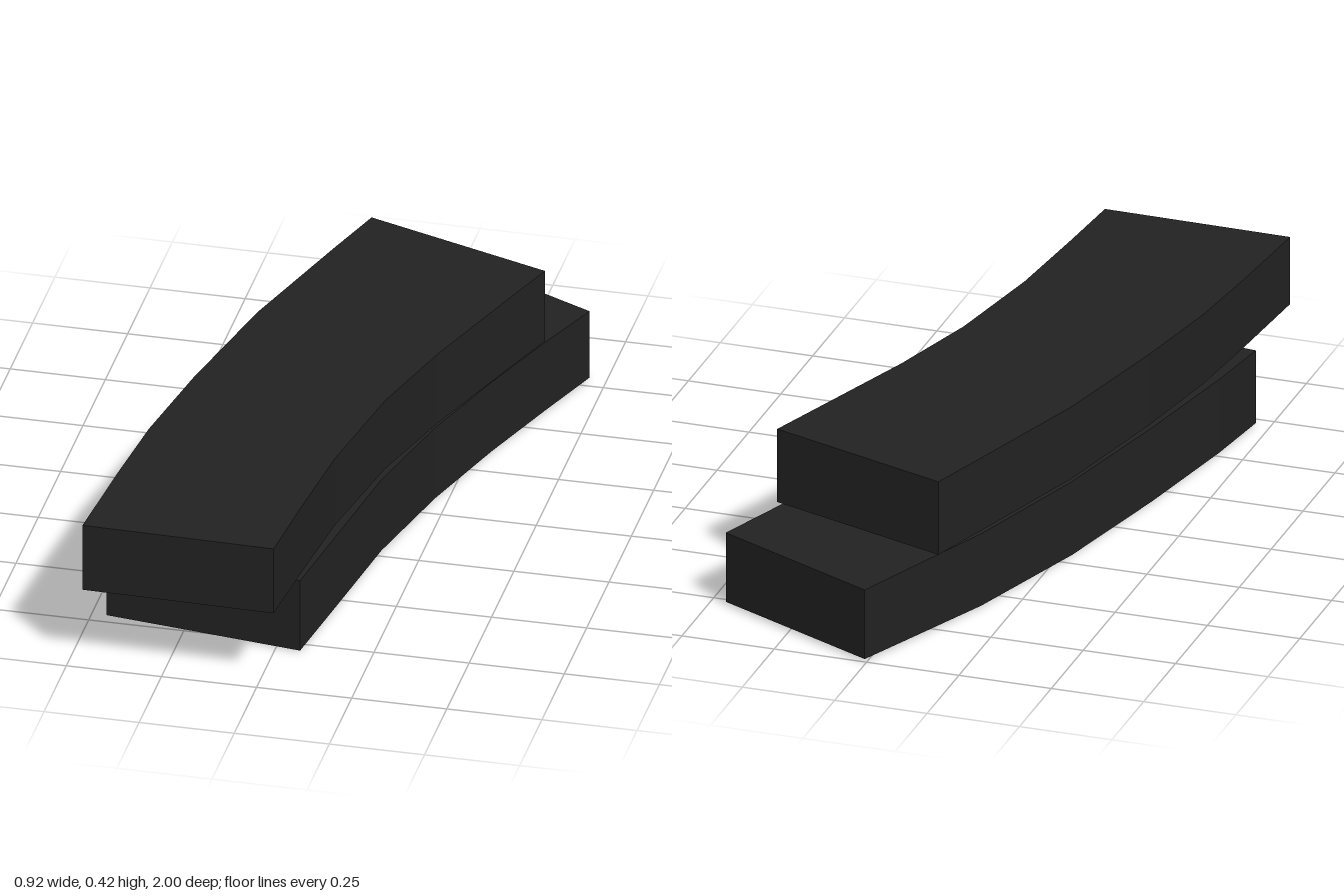
import * as THREE from 'three';

// Closed curved bar lofted through rectangular cross-sections.
// Each section: [leftX, leftZ, rightX, rightZ, bottomY, topY], front to back.
function curvedBar(sections) {
  const pos = [];
  const rings = sections.map(([lx, lz, rx, rz, y0, y1]) => [
    [lx, y0, lz], [rx, y0, rz], [rx, y1, rz], [lx, y1, lz],
  ]);
  const quad = (a, b, c, d) => [a, b, c, a, c, d].forEach((p) => pos.push(...p));
  for (let i = 0; i < rings.length - 1; i++) {
    const f = rings[i], b = rings[i + 1];
    for (let k = 0; k < 4; k++) {
      const n = (k + 1) % 4;
      quad(f[n], f[k], b[k], b[n]);
    }
  }
  const first = rings[0], last = rings[rings.length - 1];
  quad(first[0], first[1], first[2], first[3]);
  quad(last[1], last[0], last[3], last[2]);
  const geometry = new THREE.BufferGeometry();
  geometry.setAttribute('position', new THREE.Float32BufferAttribute(pos, 3));
  geometry.computeVertexNormals();
  return geometry;
}

export function createModel() {
  const group = new THREE.Group();
  group.name = 'pairedCurvedBars';
  const black = new THREE.MeshStandardMaterial({ color: 0x222222 });
  black.name = 'matteBlack';

  // Lower bar, set further back
  const lower = new THREE.Mesh(curvedBar([
    [-0.46, 0.72, 0.065, 0.79, 0.003, 0.207],
    [-0.43, 0.52, 0.10, 0.54, 0.001, 0.207],
    [-0.365, 0.18, 0.145, 0.22, 0.0, 0.207],
    [-0.28, -0.20, 0.215, -0.08, 0.0, 0.206],
    [-0.165, -0.58, 0.30, -0.35, 0.003, 0.205],
    [-0.09, -0.765, 0.385, -0.59, 0.005, 0.204],
    [0.005, -1, 0.457, -0.78, 0.008, 0.202],
  ]), black);
  lower.name = 'lowerBar';

  // Upper bar, set further forward
  const upper = new THREE.Mesh(curvedBar([
    [-0.46, 0.99, 0.045, 1, 0.222, 0.41],
    [-0.435, 0.70, 0.063, 0.78, 0.221, 0.412],
    [-0.41, 0.46, 0.09, 0.50, 0.219, 0.414],
    [-0.36, 0.17, 0.145, 0.18, 0.217, 0.416],
    [-0.28, -0.20, 0.22, -0.09, 0.215, 0.417],
    [-0.165, -0.58, 0.325, -0.40, 0.214, 0.418],
    [-0.11, -0.755, 0.387, -0.58, 0.213, 0.418],
  ]), black);
  upper.name = 'upperBar';

  group.add(lower, upper);
  return group;
}
